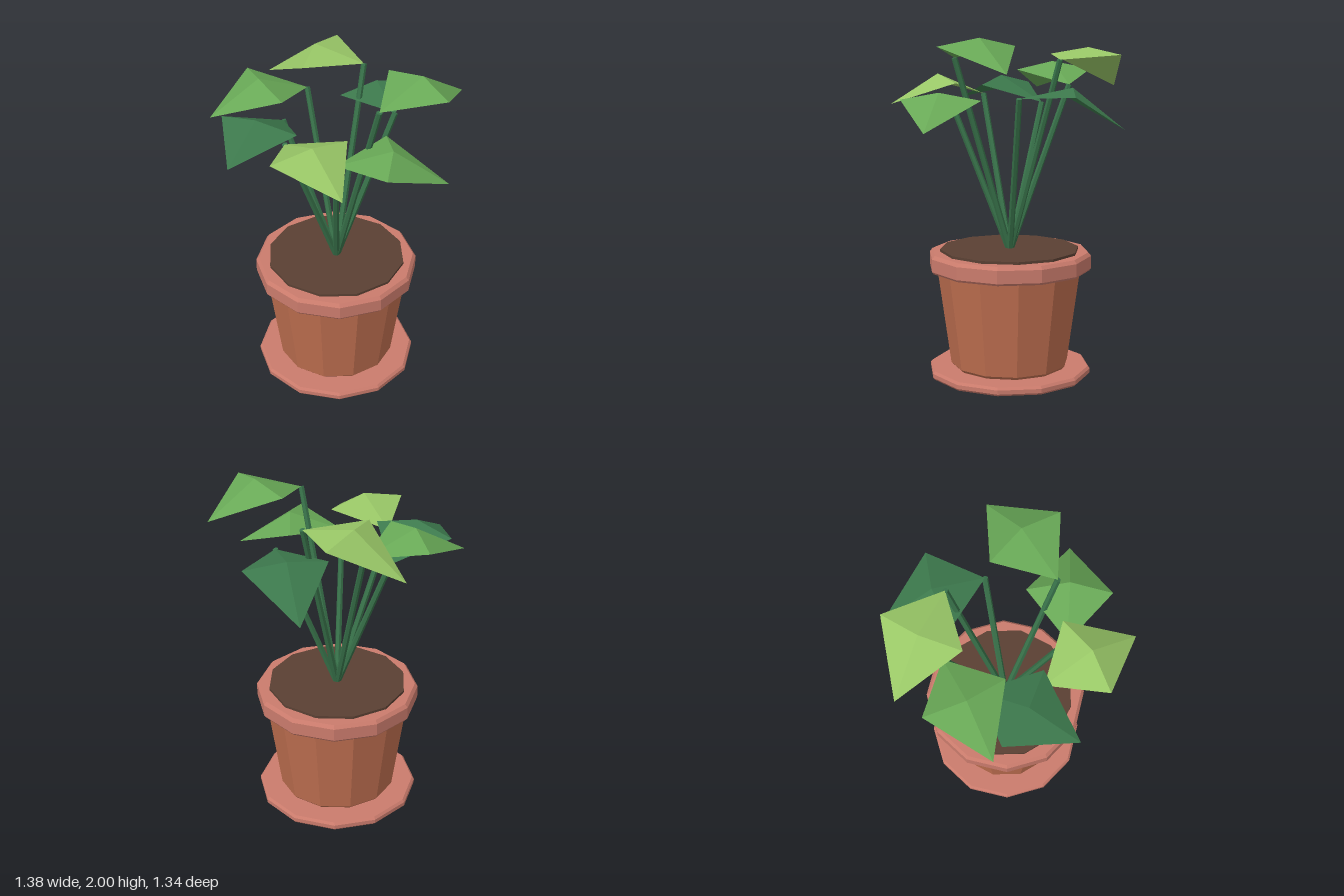
import * as THREE from 'three';

const paint = (name, color, side = THREE.FrontSide) => {
  const m = new THREE.MeshStandardMaterial({ color, side });
  m.name = name;
  return m;
};

// Give every facet its own normal
function faceted(geometry) {
  const g = geometry.index ? geometry.toNonIndexed() : geometry;
  g.computeVertexNormals();
  return g;
}

// Twelve-sided turned part from [radius, y] points, bottom to top
function turned(points, turn = 0) {
  const profile = points.map(([r, y]) => new THREE.Vector2(r, y));
  return faceted(new THREE.LatheGeometry(profile, 12, turn));
}

// Straight stem between two points
function stemGeometry(from, to) {
  const dir = to.clone().sub(from);
  const g = new THREE.CylinderGeometry(0.017, 0.019, dir.length(), 6);
  g.applyQuaternion(new THREE.Quaternion().setFromUnitVectors(
    new THREE.Vector3(0, 1, 0), dir.clone().normalize()));
  const mid = from.clone().add(to).multiplyScalar(0.5);
  return faceted(g.translate(mid.x, mid.y, mid.z));
}

// Kite-shaped leaf with a raised centre, fanned into four facets
function leafGeometry(base, tip) {
  const span = tip.clone().sub(base);
  const across = new THREE.Vector3(-span.z, 0, span.x).normalize().multiplyScalar(0.238);
  const at = (t, lift) => base.clone().addScaledVector(span, t).add(new THREE.Vector3(0, lift, 0));
  const centre = at(0.5, 0.15);
  const corners = [base, at(0.445, 0.1).add(across), tip, at(0.445, 0.1).sub(across)];
  const points = corners.flatMap((c, i) => [centre, c, corners[(i + 1) % 4]]);
  return faceted(new THREE.BufferGeometry().setFromPoints(points));
}

export function createModel() {
  const group = new THREE.Group();
  const clay = paint('terracotta', 0xbf6f50);
  const rimClay = paint('pink clay', 0xca7b6c);
  const earth = paint('soil brown', 0x5a4033);
  const stemGreen = paint('stem green', 0x38724a);
  const leafGreens = {
    light: paint('light leaf green', 0x98c666, THREE.DoubleSide),
    mid: paint('mid leaf green', 0x68a856, THREE.DoubleSide),
    dark: paint('dark leaf green', 0x3c784c, THREE.DoubleSide),
  };

  const add = (parent, name, geometry, material) => {
    const mesh = new THREE.Mesh(geometry, material);
    mesh.name = name;
    parent.add(mesh);
  };

  // Pot, saucer, rim and soil share one axis
  const pot = new THREE.Group();
  pot.name = 'pot';
  pot.position.set(-0.008, 0, -0.028);
  group.add(pot);
  const turn = Math.PI / 12;
  add(pot, 'saucer', turned([[0, 0], [0.475, 0], [0.485, 0.012], [0.485, 0.036],
    [0.472, 0.05], [0, 0.05]], turn), rimClay);
  add(pot, 'potBody', turned([[0, 0.045], [0.335, 0.05], [0.352, 0.068],
    [0.433, 0.66], [0, 0.66]]), clay);
  add(pot, 'potRim', turned([[0.4, 0.637], [0.475, 0.637], [0.485, 0.65], [0.485, 0.725],
    [0.468, 0.745], [0, 0.745]], turn), rimClay);
  add(pot, 'soil', turned([[0.413, 0.735], [0.413, 0.76], [0, 0.76]]), earth);

  // Each leaf: shade, stem end, leaf tip
  const leaves = [
    ['light', [-0.105, 1.875, -0.368], [-0.69, 1.705, -0.173]],
    ['dark', [0.16, 1.665, -0.339], [-0.37, 1.485, -0.626]],
    ['mid', [0.345, 1.885, 0.02], [0.433, 1.815, -0.59]],
    ['mid', [0.22, 1.595, 0.225], [0.685, 1.49, -0.18]],
    ['light', [-0.07, 1.655, 0.32], [0.495, 1.605, 0.475]],
    ['dark', [-0.327, 1.605, 0.074], [-0.157, 1.615, 0.667]],
    ['mid', [-0.352, 1.72, -0.153], [-0.562, 1.675, 0.42]],
  ];
  const root = new THREE.Vector3(-0.008, 0.74, -0.03);
  leaves.forEach(([shade, base, tip], i) => {
    const shoot = new THREE.Group();
    shoot.name = `shoot${i + 1}`;
    const end = new THREE.Vector3(...base);
    add(shoot, 'stem', stemGeometry(root, end), stemGreen);
    add(shoot, 'leaf', leafGeometry(end, new THREE.Vector3(...tip)), leafGreens[shade]);
    group.add(shoot);
  });
  return group;
}
